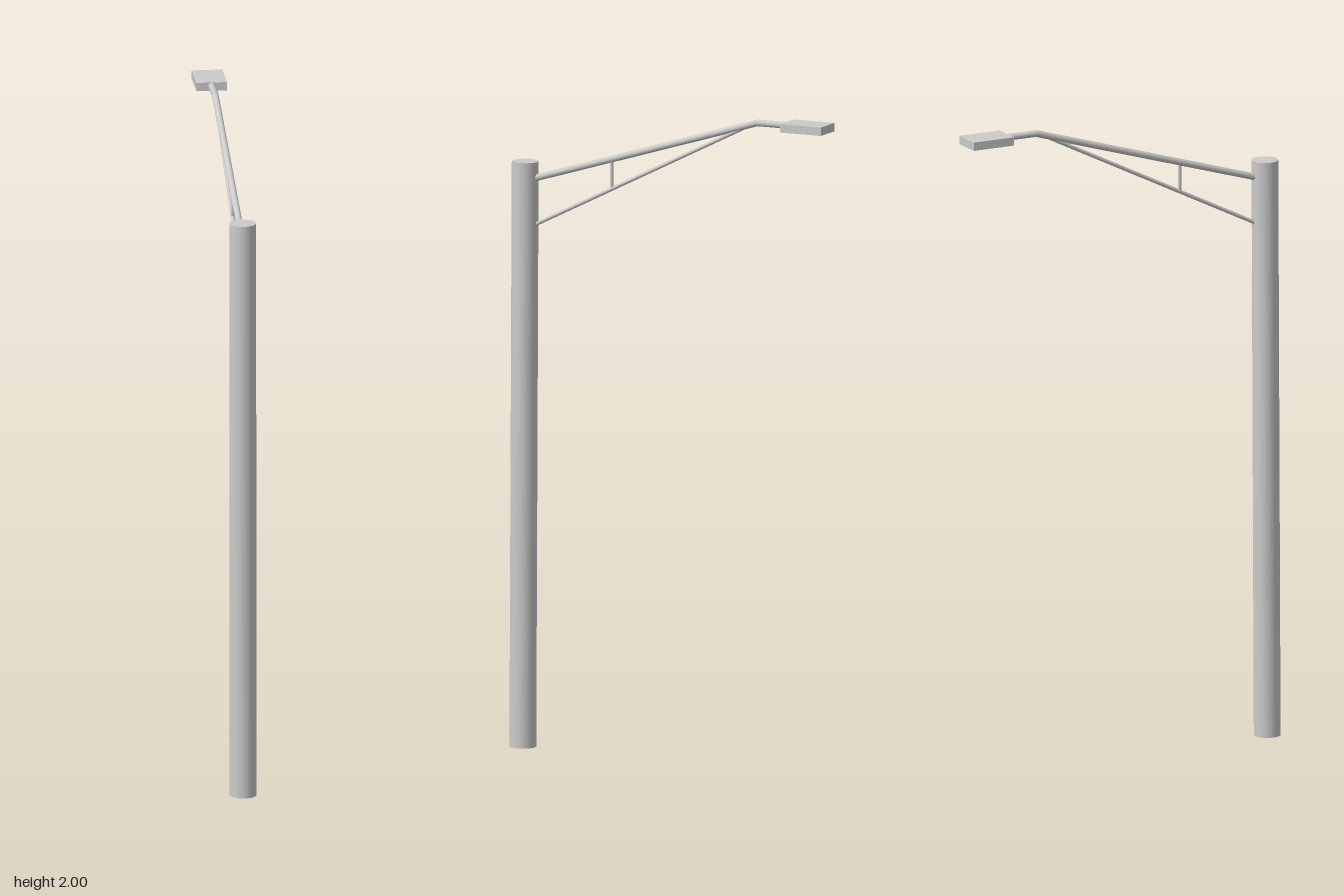
import * as THREE from 'three';

const material = new THREE.MeshStandardMaterial({ color: 0xcccccc });

// Round bar between two points [y, z] in the x = 0 plane
function bar(name, from, to, radius, sides) {
  const a = new THREE.Vector3(0, ...from);
  const b = new THREE.Vector3(0, ...to);
  const axis = b.clone().sub(a);
  const mesh = new THREE.Mesh(new THREE.CylinderGeometry(radius, radius, axis.length(), sides), material);
  mesh.position.copy(a).add(b).multiplyScalar(0.5);
  mesh.quaternion.setFromUnitVectors(new THREE.Vector3(0, 1, 0), axis.normalize());
  mesh.name = name;
  return mesh;
}

export function createModel() {
  const group = new THREE.Group();
  group.name = 'streetLamp';

  // Slightly leaning pole
  group.add(bar('pole', [0, 0.497], [1.81, 0.489], 0.041, 32));

  // Rising arm with a level tip
  group.add(bar('arm', [1.758, 0.462], [1.989, -0.3], 0.0105, 16));
  group.add(bar('armTip', [1.989, -0.298], [1.989, -0.41], 0.0105, 16));

  // Diagonal brace below the arm and the short strut joining them
  group.add(bar('brace', [1.615, 0.458], [1.982, -0.278], 0.006, 12));
  group.add(bar('strut', [1.746, 0.195], [1.838, 0.195], 0.005, 12));

  // Flat lamp head
  const head = new THREE.Mesh(new THREE.BoxGeometry(0.094, 0.026, 0.139), material);
  head.position.set(0, 1.987, -0.47);
  head.name = 'lampHead';
  group.add(head);

  return group;
}
